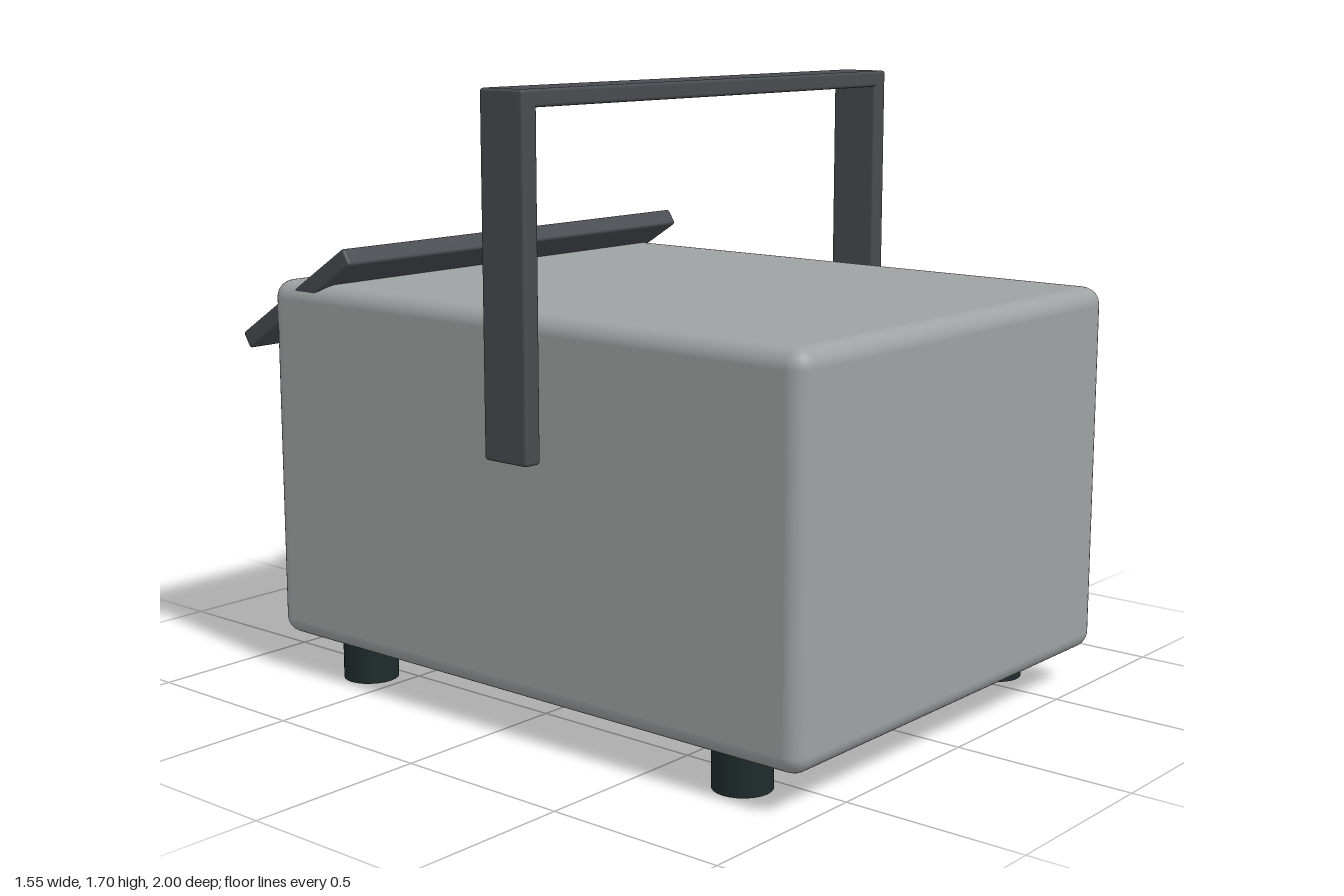
import * as THREE from 'three';
import { RoundedBoxGeometry } from 'three/addons/geometries/RoundedBoxGeometry.js';

const shellGrey = new THREE.MeshStandardMaterial({ color: 0x9ea2a2 });
shellGrey.name = 'shell grey';
const slateGrey = new THREE.MeshStandardMaterial({ color: 0x484b50 });
slateGrey.name = 'slate grey';
const darkGreen = new THREE.MeshStandardMaterial({ color: 0x1f2b2b });
darkGreen.name = 'dark green';

export function createModel() {
  const model = new THREE.Group();
  model.name = 'portableInstrument';

  function add(name, geometry, material, x, y, z, parent = model) {
    const mesh = new THREE.Mesh(geometry, material);
    mesh.name = name;
    mesh.position.set(x, y, z);
    parent.add(mesh);
    return mesh;
  }
  const box = (w, h, d, r, segments = 2) => new RoundedBoxGeometry(w, h, d, segments, r);

  // Rounded case
  add('case', box(1.395, 1.028, 1.865, 0.05, 4), shellGrey, 0, 0.621, 0.0675);

  // Feet
  const footGeometry = new THREE.CylinderGeometry(0.078, 0.078, 0.13, 24);
  for (const x of [-0.583, 0.583]) {
    for (const z of [-0.608, 0.745]) add('foot', footGeometry, darkGreen, x, 0.065, z);
  }

  // Carrying handle: two legs and a crossbar
  const handle = new THREE.Group();
  handle.name = 'handle';
  model.add(handle);
  for (const side of [-1, 1]) {
    add('handleLeg', box(0.054, 0.94, 0.148, 0.009), slateGrey, side * 0.748, 1.23, 0.128, handle);
  }
  add('handleBar', box(1.55, 0.046, 0.148, 0.009), slateGrey, 0, 1.677, 0.128, handle);

  // Sloping hood cutting through the upper rear edge
  const hood = add('hood', box(1.38, 0.052, 0.516, 0.008), slateGrey, 0, 1.085, -0.769);
  hood.rotation.x = -0.565;

  // Rear screen
  add('screen', box(1.184, 0.512, 0.06, 0.01), darkGreen, 0, 0.81, -0.879);

  // Circle of twelve small rings, partly covered by the screen
  const rings = new THREE.Group();
  rings.name = 'ringDial';
  rings.position.set(0, 0.69, -0.897);
  model.add(rings);
  const ringGeometry = new THREE.TorusGeometry(0.059, 0.011, 10, 28);
  for (let i = 0; i < 12; i++) {
    const a = (i * Math.PI) / 6;
    add('ring', ringGeometry, slateGrey, 0.38 * Math.sin(a), 0.38 * Math.cos(a), 0, rings);
  }

  return model;
}
